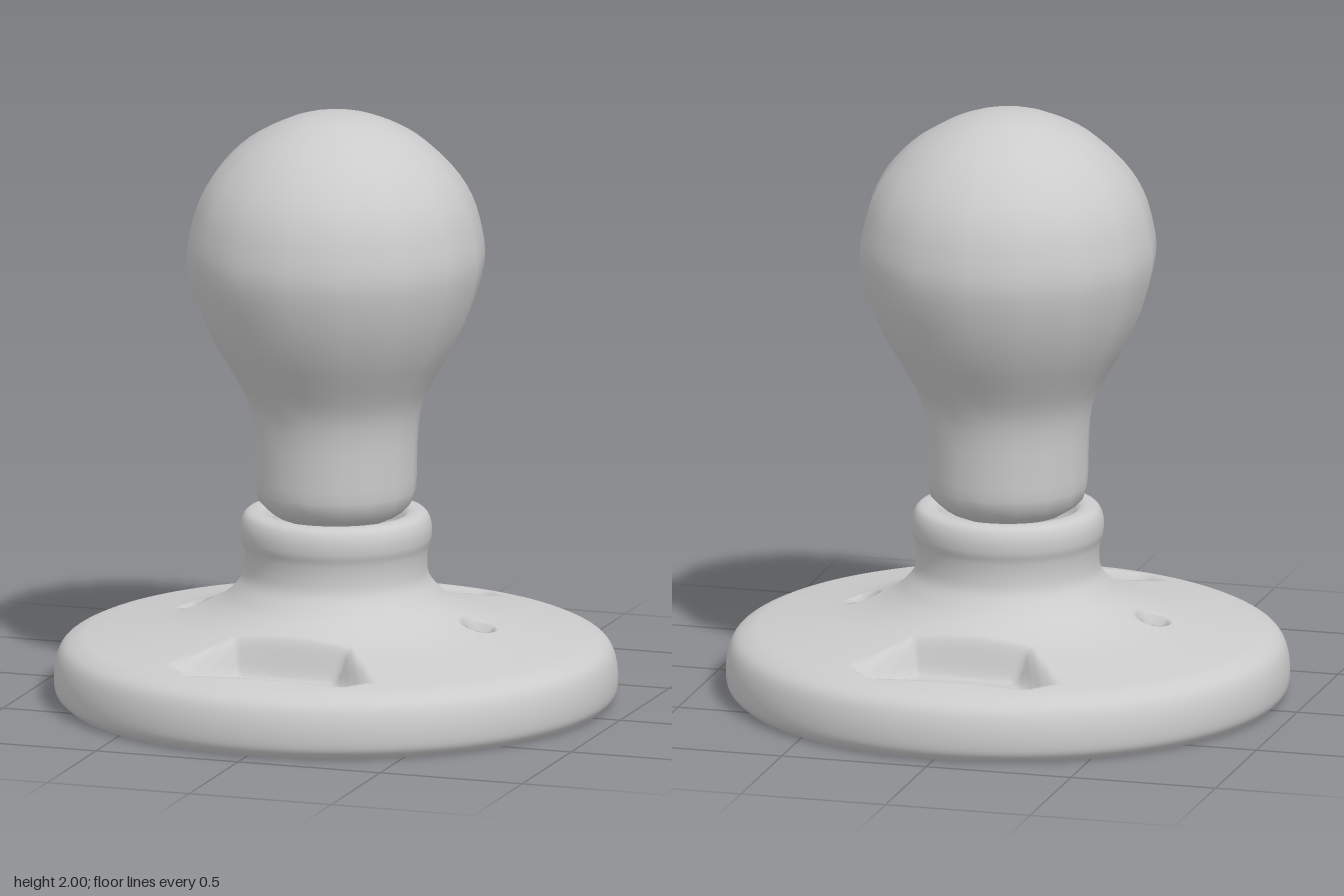
import * as THREE from 'three';
import { mergeVertices } from 'three/addons/utils/BufferGeometryUtils.js';

// Smooth profile through a few [radius, height] points, listed bottom to top
const profile = (pts, n) =>
  new THREE.SplineCurve(pts.map(([r, y]) => new THREE.Vector2(r, y))).getSpacedPoints(n)
    .map(p => p.set(Math.max(p.x, 0), p.y));

const BASE = [
  [0.905, 0], [0.935, 0.035], [0.937, 0.11], [0.915, 0.175], [0.865, 0.208], [0.8, 0.224],
  [0.7, 0.242], [0.55, 0.272], [0.45, 0.305], [0.385, 0.34], [0.345, 0.375], [0.312, 0.42],
  [0.304, 0.47], [0.308, 0.52], [0.318, 0.555], [0.318, 0.6], [0.303, 0.635], [0.275, 0.645],
  [0.24, 0.64], [0.215, 0.61],
];
const BULB = [
  [0, 0.6], [0.12, 0.605], [0.2, 0.63], [0.255, 0.675], [0.268, 0.72], [0.27, 0.8],
  [0.276, 0.93], [0.295, 1.02], [0.335, 1.1], [0.41, 1.23], [0.465, 1.36], [0.497, 1.5],
  [0.485, 1.61], [0.455, 1.71], [0.4, 1.8], [0.31, 1.89], [0.2, 1.955], [0.1, 1.99], [0, 2],
];

// How far inside the outline of a trapezoid hand recess a point lies
function insideRecess(x, z) {
  const ax = Math.abs(x), az = Math.abs(z);
  const side = (0.2 + (az - 0.45) * 0.7 - ax) * 0.82;
  const corner = (1.04 - ax - az) * 0.707;
  return Math.min(0.765 - az, az - 0.45, side, corner);
}

function baseGeometry() {
  const lathe = new THREE.LatheGeometry(profile(BASE, 110), 192);
  lathe.deleteAttribute('uv');
  lathe.deleteAttribute('normal');
  const g = mergeVertices(lathe, 1e-5);
  const p = g.attributes.position;
  for (let i = 0; i < p.count; i++) {
    const x = p.getX(i), y = p.getY(i), z = p.getZ(i);
    if (y < 0.2 || Math.hypot(x, z) < 0.4) continue;
    // Two hand recesses, front and back, with a flat floor
    const recess = THREE.MathUtils.smoothstep(insideRecess(x, z), 0, 0.06);
    // Two small pits, left and right
    const pit = THREE.MathUtils.smoothstep(0.055 - Math.hypot(Math.abs(x) - 0.5, z), 0, 0.025);
    p.setY(i, THREE.MathUtils.lerp(y, 0.17, recess) - 0.075 * pit);
  }
  g.computeVertexNormals();
  return g;
}

export function createModel() {
  const group = new THREE.Group();
  const material = new THREE.MeshStandardMaterial({ color: 0xcccccc, side: THREE.DoubleSide });

  // Hollow dish base with its collar
  const base = new THREE.Mesh(baseGeometry(), material);
  base.name = 'base';

  // Bulb-shaped knob seated in the collar
  const knob = new THREE.Mesh(new THREE.LatheGeometry(profile(BULB, 48), 16), material);
  knob.name = 'knob';

  group.add(base, knob);
  return group;
}
